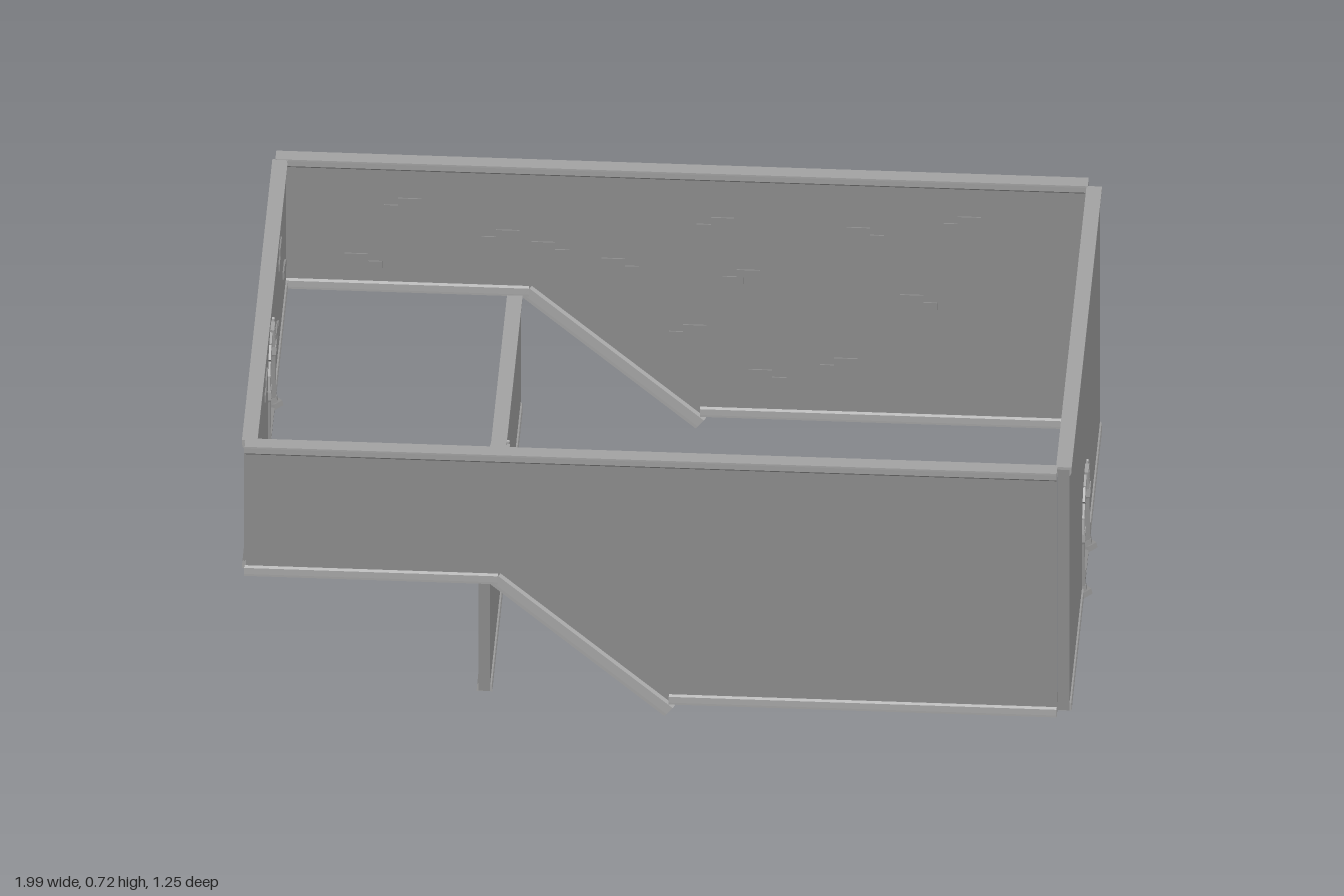
import * as THREE from 'three';

const mat = (color) => new THREE.MeshStandardMaterial({ color, flatShading: true });
const wallGrey = mat(0x8e8e8e);
const trimGrey = mat(0xa4a4a4);
const metal = mat(0xb2b2b2);
const wood = mat(0x7c5a3b);
const darkWood = mat(0x2e2218);

function add(parent, name, geometry, material, x = 0, y = 0, z = 0) {
  const mesh = new THREE.Mesh(geometry, material);
  mesh.name = name;
  mesh.position.set(x, y, z);
  parent.add(mesh);
  return mesh;
}

// Extrude a shape symmetrically about z = 0
function slab(shape, depth) {
  const g = new THREE.ExtrudeGeometry(shape, { depth, bevelEnabled: false, curveSegments: 12 });
  return g.translate(0, 0, -depth / 2);
}
const poly = (pts) => new THREE.Shape(pts.map(([x, y]) => new THREE.Vector2(x, y)));

const WALL = 0.027; // wall thickness
const SPRING = 0.175; // arch spring height above the sill

// Flared moulding whose wide edge runs from a to b; dir is the side its body lies on
function trim(parent, name, a, b, dir, height = 0.024) {
  const half = [[0.0183, 0], [0.0183, 0.2], [0.0172, 0.8], [0.0135, 1]];
  const pts = [...half, ...half.map(([w, h]) => [-w, h]).reverse()];
  const [dx, dy] = [b[0] - a[0], b[1] - a[1]];
  const g = slab(poly(pts.map(([w, h]) => [w, h * height * dir])), Math.hypot(dx, dy));
  g.rotateY(Math.PI / 2).rotateZ(Math.atan2(dy, dx));
  add(parent, name, g, trimGrey, (a[0] + b[0]) / 2, (a[1] + b[1]) / 2, 0);
}

// Pairs of staggered, slightly raised stones on one face of a wall
function raisedStones(parent, spots, side) {
  spots.forEach(([x, y], i) => {
    const s = i % 2 ? 1 : -1;
    for (const [dx, dy, w] of [[-0.018 * s, 0.01, 0.055], [0.018 * s, -0.01, 0.05]]) {
      add(parent, 'raisedStone', new THREE.BoxGeometry(w, 0.02, 0.007), wallGrey, x + dx, y + dy, side * 0.0135);
    }
  });
}

// Columns, wedge stones and sill framing a doorway
function archway(parent, y0) {
  const arch = new THREE.Group();
  arch.name = 'archway';
  arch.position.y = y0;
  parent.add(arch);
  for (const s of [-1, 1]) {
    const drum = (name, rTop, rBottom, h, y, sides, depth) => {
      const g = new THREE.CylinderGeometry(rTop, rBottom, h, sides);
      if (sides === 8) g.rotateY(Math.PI / 8);
      g.scale(1, 1, depth);
      add(arch, name, g, wallGrey, s * 0.098, y, 0);
    };
    drum('columnBase', 0.023, 0.025, 0.014, 0.007, 6, 1.5);
    drum('columnFoot', 0.019, 0.021, 0.012, 0.02, 8, 1.25);
    drum('columnShaft', 0.016, 0.017, 0.127, 0.086, 8, 1.3);
    drum('columnCapital', 0.02, 0.017, 0.012, 0.15, 8, 1.2);
    add(arch, 'springStone', new THREE.BoxGeometry(0.035, 0.022, 0.042), trimGrey, s * 0.0965, SPRING - 0.01, 0);
  }
  const n = 9;
  for (let i = 0; i < n; i++) {
    const a0 = (i / n) * Math.PI + 0.012, a1 = ((i + 1) / n) * Math.PI - 0.012;
    const R = i % 2 ? 0.111 : 0.115, r = 0.079;
    const at = (rad, a) => [rad * Math.cos(a), rad * Math.sin(a)];
    const shape = poly([at(r, a0), at(R, a0), at(R, a1), at(r, a1)]);
    add(arch, i === 4 ? 'keystone' : 'archStone', slab(shape, i === 4 ? 0.046 : 0.038), trimGrey, 0, SPRING, 0);
  }
  add(arch, 'sill', new THREE.BoxGeometry(0.19, 0.006, 0.036), wallGrey, 0, 0.003, 0);
}

// Plank door with straps and a latch plate
function door(parent, y0) {
  const group = new THREE.Group();
  group.name = 'door';
  group.position.y = y0;
  parent.add(group);
  const W = 0.079;
  // Board with flat sides and a top following the arch
  const board = (x0, x1, depth) => {
    const pts = [[x0, 0], [x1, 0]];
    for (let k = 0; k <= 8; k++) {
      const x = x1 + ((x0 - x1) * k) / 8;
      pts.push([x, SPRING + Math.sqrt(0.082 ** 2 - x * x)]);
    }
    return slab(poly(pts), depth);
  };
  add(group, 'doorCore', board(-W, W, 0.01), darkWood);
  const cuts = [-W, -0.045, -0.001, 0.048, W];
  for (let i = 0; i < 4; i++) {
    add(group, 'plank', board(cuts[i] + 0.002, cuts[i + 1] - 0.002, i % 2 ? 0.017 : 0.02), wood);
  }
  for (const y of [0.05, 0.182]) add(group, 'strap', new THREE.BoxGeometry(2 * W, 0.012, 0.025), metal, 0, y, 0);
  add(group, 'latchPlate', new THREE.BoxGeometry(0.022, 0.03, 0.025), metal, 0.064, 0.127, 0);
  for (const s of [-1, 1]) add(group, 'knob', new THREE.SphereGeometry(0.007, 8, 6), metal, 0.064, 0.127, s * 0.017);
}

// Wall across the width with an arched doorway; local +z faces +x
function crossWall(root, name, x, y0, y1) {
  const wall = new THREE.Group();
  wall.name = name;
  wall.position.x = x;
  wall.rotation.y = Math.PI / 2;
  root.add(wall);
  const L = 0.6, T = 0.595, o = 0.095, spring = y0 + SPRING;
  const shape = new THREE.Shape();
  shape.moveTo(-L, y0 + 0.004).lineTo(-o, y0 + 0.004).lineTo(-o, spring);
  shape.absarc(0, spring, o, Math.PI, 0, true);
  shape.lineTo(o, y0 + 0.004).lineTo(L, y0 + 0.004).lineTo(L, y1 - 0.004).lineTo(-L, y1 - 0.004);
  add(wall, 'wallPanel', slab(shape, WALL), wallGrey);
  trim(wall, 'topTrim', [-T, y1], [T, y1], -1);
  trim(wall, 'baseTrim', [-T, y0], [-o, y0], 1);
  trim(wall, 'baseTrim', [o, y0], [T, y0], 1);
  archway(wall, y0);
  return wall;
}

// Long stepped wall with a sloping lower edge
function longWall(root, name, z) {
  const wall = new THREE.Group();
  wall.name = name;
  wall.position.z = z;
  root.add(wall);
  const panel = [[-0.965, 0.36], [-0.375, 0.36], [0.03, 0.037], [0.942, 0.037], [0.942, 0.715], [-0.965, 0.715]];
  add(wall, 'wallPanel', slab(poly(panel), WALL), wallGrey);
  trim(wall, 'topTrim', [-0.968, 0.72], [0.942, 0.72], -1);
  trim(wall, 'upperBaseTrim', [-0.968, 0.356], [-0.372, 0.356], 1, 0.027);
  trim(wall, 'lowerBaseTrim', [0.03, 0.033], [0.942, 0.033], 1, 0.026);
  trim(wall, 'slopeTrim', [-0.39, 0.356], [0.02, 0], 1, 0.037);
  return wall;
}

export function createModel() {
  const root = new THREE.Group();
  root.name = 'steppedHall';

  const front = longWall(root, 'frontWall', 0.609);
  raisedStones(front, [[0.63, 0.6], [-0.18, 0.62], [0.65, 0.25], [0.8, 0.275], [0.51, 0.24], [0.23, 0.24], [0.16, 0.44],
    [-0.04, 0.28], [-0.25, 0.5], [-0.26, 0.39], [-0.67, 0.62], [-0.57, 0.47]], -1);
  const back = longWall(root, 'backWall', -0.609);
  raisedStones(back, [[-0.67, 0.6], [-0.76, 0.44], [-0.44, 0.52], [-0.32, 0.49], [0.065, 0.575], [-0.156, 0.45], [0.126, 0.43],
    [0.42, 0.56], [0.645, 0.6], [0.546, 0.375], [0, 0.27], [0.19, 0.15], [0.355, 0.19]], 1);

  const left = crossWall(root, 'leftWall', 0.957, 0.032, 0.718);
  raisedStones(left, [[-0.45, 0.62], [-0.47, 0.395], [-0.31, 0.365], [-0.18, 0.61], [0.15, 0.65], [-0.08, 0.525], [-0.2, 0.28]], -1);
  const right = crossWall(root, 'rightWall', -0.957, 0.356, 0.718);
  raisedStones(right, [[0.34, 0.62], [0.51, 0.465], [-0.2, 0.61], [0.22, 0.485], [-0.4, 0.5]], 1);

  const middle = crossWall(root, 'middleWall', -0.405, 0.032, 0.358);
  door(middle, 0.032);
  return root;
}
